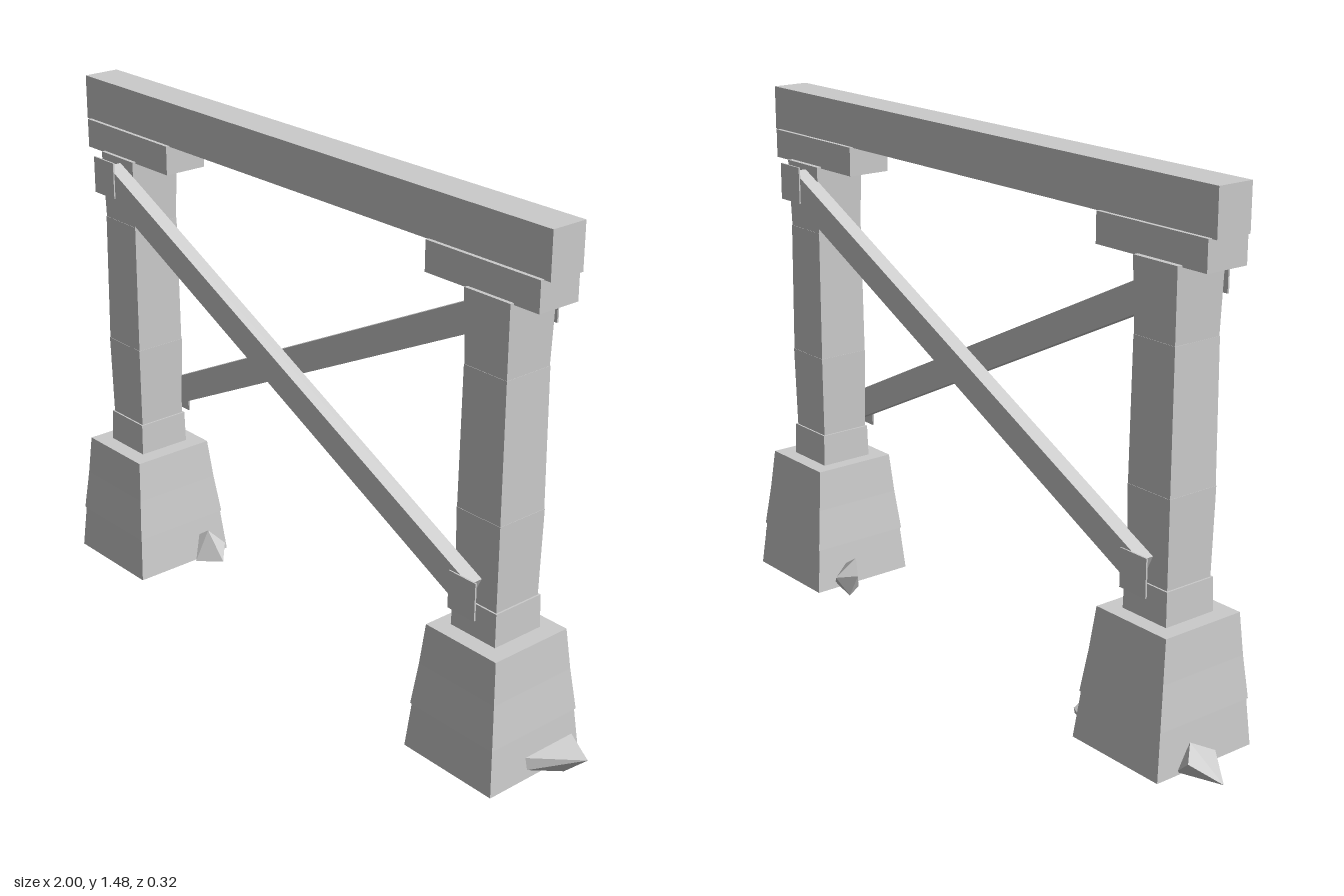
import * as THREE from 'three';
import { ConvexGeometry } from 'three/addons/geometries/ConvexGeometry.js';

const material = new THREE.MeshStandardMaterial({ color: 0xcccccc, flatShading: true });
const shellMaterial = new THREE.MeshStandardMaterial({ color: 0xcccccc, flatShading: true, side: THREE.DoubleSide });

function add(parent, name, geometry, mat = material) {
  const mesh = new THREE.Mesh(geometry, mat);
  mesh.name = name;
  parent.add(mesh);
  return mesh;
}

// Box given by its bounds
function block(x0, x1, y0, y1, z0, z1) {
  return new THREE.BoxGeometry(x1 - x0, y1 - y0, z1 - z0)
    .translate((x0 + x1) / 2, (y0 + y1) / 2, (z0 + z1) / 2);
}

// Tapered block; low and high are [x0, x1, z0, z1] at y0 and y1
function taperedBlock(y0, y1, low, high, open = false) {
  const geometry = new THREE.BoxGeometry(1, 1, 1);
  const p = geometry.attributes.position;
  for (let i = 0; i < p.count; i++) {
    const top = p.getY(i) > 0;
    const b = top ? high : low;
    p.setXYZ(i, p.getX(i) > 0 ? b[1] : b[0], top ? y1 : y0, p.getZ(i) > 0 ? b[3] : b[2]);
  }
  // An open block keeps only its four side walls
  if (open) {
    const index = Array.from(geometry.index.array);
    geometry.setIndex([...index.slice(0, 12), ...index.slice(24)]);
    geometry.clearGroups();
  }
  geometry.computeVertexNormals();
  return geometry;
}

const grow = ([x0, x1, z0, z1], d) => [x0 - d, x1 + d, z0 - d, z1 + d];
const mix = (a, b, t) => a.map((v, i) => v + (b[i] - v) * t);

// Stone footing of three courses, the lowest one hollow underneath
function footing(parent, name, low, high) {
  const group = new THREE.Group();
  group.name = name;
  const levels = [0, 0.13, 0.25, 0.367];
  for (let i = 0; i < 3; i++) {
    const t0 = levels[i] / 0.367, t1 = levels[i + 1] / 0.367;
    add(group, 'stoneCourse', taperedBlock(levels[i], levels[i + 1],
      grow(mix(low, high, t0), i === 1 ? 0.003 : 0), mix(low, high, t1), i === 0),
    i === 0 ? shellMaterial : material);
  }
  parent.add(group);
}

// Timber post with slightly uneven hewn sections
function post(parent, name, side) {
  const group = new THREE.Group();
  group.name = name;
  const levels = [0.36, 0.46, 0.7, 1.08, 1.275];
  const swell = [[0.005, 0.003], [-0.002, 0.002], [0.001, -0.002], [-0.003, 0.002]];
  const section = [side * 0.738 - 0.073, side * 0.738 + 0.073, -0.073, 0.079];
  swell.forEach(([a, b], i) => add(group, 'postSection',
    taperedBlock(levels[i], levels[i + 1], grow(section, a), grow(section, b))));
  parent.add(group);
}

// Diagonal brace with a plate at each end; slope -1 falls towards +x
function brace(parent, name, slope, z, outward) {
  const group = new THREE.Group();
  group.name = name;
  const rise = 0.725, run = 1.48;
  const beam = add(group, 'braceBeam', new THREE.BoxGeometry(Math.hypot(run, rise), 0.08, 0.045));
  beam.rotation.z = slope * Math.atan2(rise, run);
  beam.position.set(0, 0.8625, z);
  for (const end of [-1, 1]) {
    const plate = add(group, 'bracePlate', new THREE.BoxGeometry(0.093, 0.105, 0.005));
    plate.position.set(end * 0.737, 0.8605 + end * slope * 0.3625, z + outward * 0.024);
  }
  parent.add(group);
}

// Angular stone from a few corner points
function rock(parent, name, points) {
  add(parent, name, new ConvexGeometry(points.map((p) => new THREE.Vector3(...p))));
}

export function createModel() {
  const model = new THREE.Group();
  model.name = 'timberFrame';

  // Footings and posts
  footing(model, 'rightFooting', [-0.888, -0.575, -0.162, 0.162], [-0.862, -0.612, -0.122, 0.132]);
  footing(model, 'leftFooting', [0.583, 0.896, -0.162, 0.162], [0.62, 0.866, -0.122, 0.132]);
  post(model, 'rightPost', -1);
  post(model, 'leftPost', 1);

  // Caps and top beam
  add(model, 'rightCap', block(-0.893, -0.515, 1.27, 1.352, -0.06, 0.07));
  add(model, 'leftCap', block(0.518, 0.893, 1.27, 1.352, -0.06, 0.07));
  add(model, 'topBeam', block(-0.91, 0.912, 1.35, 1.475, -0.049, 0.059));

  // Crossed braces, one on each face
  brace(model, 'frontBrace', -1, 0.102, 1);
  brace(model, 'backBrace', 1, -0.093, -1);

  // Loose rocks beside the footings
  rock(model, 'leftOuterRock', [
    [0.995, 0.055, -0.085], [0.91, 0.08, -0.115], [0.905, 0.005, -0.145],
    [0.895, 0.065, 0.038], [0.9, 0.03, 0.035], [0.94, 0.005, -0.06], [0.87, 0.01, -0.06]]);
  rock(model, 'leftInnerRock', [
    [0.48, 0.07, -0.09], [0.51, 0.115, -0.075], [0.585, 0.07, -0.06],
    [0.51, 0, -0.1], [0.55, 0, -0.04], [0.6, 0.01, -0.09], [0.53, 0.06, -0.135]]);
  rock(model, 'rightOuterRock', [
    [-1, 0.005, -0.045], [-0.93, 0.05, -0.1], [-0.885, 0.075, -0.05],
    [-0.9, 0.035, 0.025], [-0.9, 0, 0.015], [-0.88, 0.005, -0.09]]);
  rock(model, 'rightInnerRock', [
    [-0.495, 0.01, -0.085], [-0.555, 0.098, -0.075], [-0.58, 0.08, -0.06],
    [-0.56, 0.005, -0.03], [-0.575, 0.005, -0.11], [-0.53, 0.05, -0.12]]);

  return model;
}
